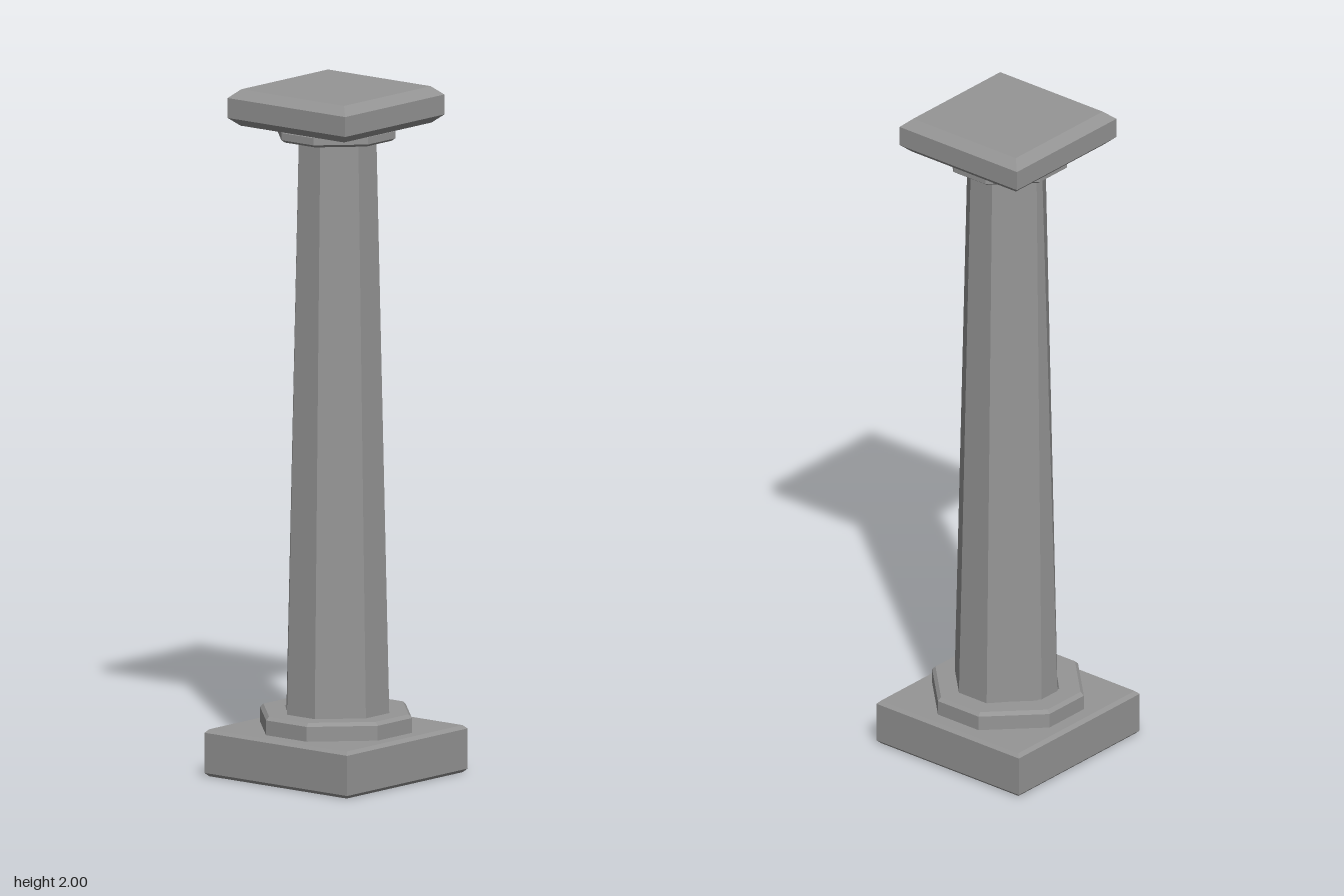
import * as THREE from 'three';

const material = new THREE.MeshStandardMaterial({
  color: 0x959595, flatShading: true, side: THREE.DoubleSide,
});

// Square outline of half width h whose corners are cut, leaving flats of half length c.
// With c equal to h the outline is a plain square; w narrows the flat on the -x side.
function outline([h, c, y, w = c]) {
  return [[c, h], [h, c], [h, -c], [c, -h], [-c, -h], [-h, -w], [-h, w], [-c, h]]
    .map(([x, z]) => new THREE.Vector3(x, y, z));
}

// Skin a stack of outlines from bottom to top, with optional end faces.
function loft(name, sections, closed) {
  const rings = sections.map(outline);
  const positions = [];
  const tri = (a, b, c) => {
    const area = b.clone().sub(a).cross(c.clone().sub(a)).length();
    if (area > 1e-9) positions.push(...a, ...b, ...c);
  };
  for (let r = 0; r < rings.length - 1; r++) {
    const low = rings[r], high = rings[r + 1];
    for (let i = 0; i < 8; i++) {
      const j = (i + 1) % 8;
      tri(low[i], low[j], high[j]);
      tri(low[i], high[j], high[i]);
    }
  }
  if (closed) {
    const first = rings[0], last = rings[rings.length - 1];
    for (let i = 1; i < 7; i++) {
      tri(first[0], first[i + 1], first[i]);
      tri(last[0], last[i], last[i + 1]);
    }
  }
  const geometry = new THREE.BufferGeometry();
  geometry.setAttribute('position', new THREE.Float32BufferAttribute(positions, 3));
  geometry.computeVertexNormals();
  const mesh = new THREE.Mesh(geometry, material);
  mesh.name = name;
  return mesh;
}

export function createModel() {
  const group = new THREE.Group();
  group.name = 'column';

  // Square plinth, hollow below, its top opening into the base ring
  group.add(loft('plinth', [
    [0.257, 0.257, 0], [0.267, 0.267, 0.01], [0.267, 0.267, 0.127],
    [0.257, 0.257, 0.137], [0.22, 0.076, 0.137],
  ], false));

  // Eight-sided base ring with a bevelled upper edge
  group.add(loft('baseRing', [
    [0.22, 0.076, 0.137], [0.22, 0.076, 0.18], [0.21, 0.073, 0.19], [0.15, 0.05, 0.19],
  ], false));

  // Tapering eight-sided shaft, its right flat narrowing towards the top
  group.add(loft('shaft', [
    [0.156, 0.052, 0.17, 0.035], [0.117, 0.04, 1.88, 0.012],
  ], true));

  // Neck ring bevelled on its lower edge
  group.add(loft('neckRing', [
    [0.16, 0.056, 1.857], [0.171, 0.06, 1.865], [0.171, 0.06, 1.886], [0.16, 0.056, 1.897],
  ], true));

  // Square cap slab bevelled above and below
  group.add(loft('capSlab', [
    [0.194, 0.194, 1.894], [0.22, 0.22, 1.917], [0.22, 0.22, 1.975], [0.192, 0.192, 2],
  ], true));

  return group;
}
